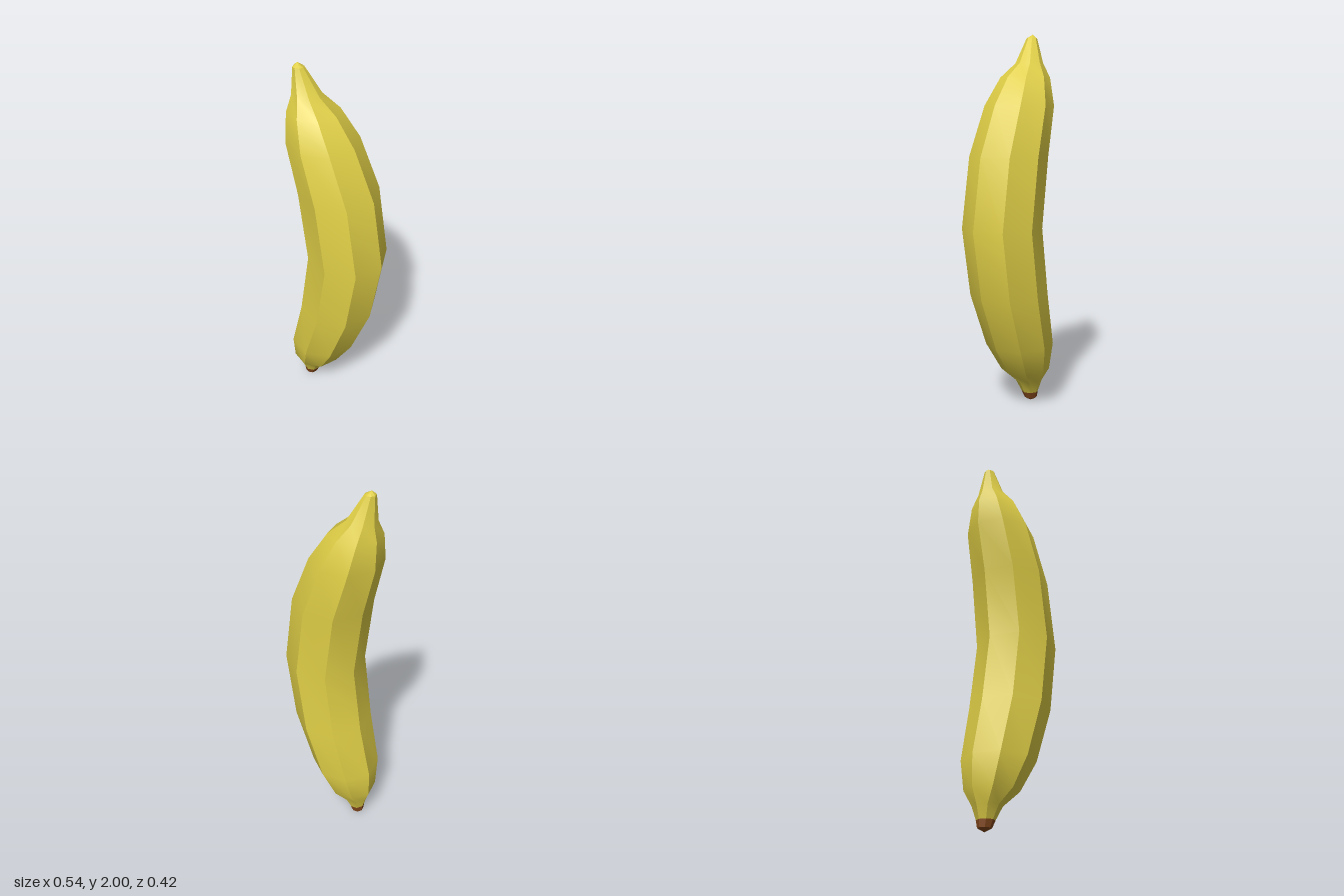
import * as THREE from 'three';
import { toCreasedNormals } from 'three/addons/utils/BufferGeometryUtils.js';

const SIDES = 8;

// Cross-sections from bottom to top: [y, centre x, centre z, radius]
const blossomRings = [
  [0, -0.185, 0.016, 0],
  [0.018, -0.184, 0.016, 0.034],
  [0.055, -0.177, 0.016, 0.045],
];
const skinRings = [
  [0.055, -0.177, 0.016, 0.045],
  [0.12, -0.168, 0.016, 0.072],
  [0.195, -0.137, 0.015, 0.132],
  [0.35, -0.087, 0.012, 0.182],
  [0.64, 0.004, 0.004, 0.205],
  [1.0, 0.06, 0, 0.208],
  [1.37, 0.007, 0.003, 0.204],
  [1.63, -0.08, 0.01, 0.181],
  [1.775, -0.13, 0.015, 0.13],
  [1.85, -0.165, 0.018, 0.073],
  [1.98, -0.198, 0.031, 0.028],
  [2.0, -0.205, 0.031, 0],
];

// Joins octagonal rings; a ring of zero radius closes the end
function loft(rings) {
  const positions = [];
  const point = ([y, x, z, r], i) => {
    const a = (i / SIDES) * Math.PI * 2;
    return [x + r * Math.cos(a), y, z + r * Math.sin(a)];
  };
  for (let k = 0; k < rings.length - 1; k++) {
    const low = rings[k], high = rings[k + 1];
    for (let i = 0; i < SIDES; i++) {
      const a0 = point(low, i), a1 = point(low, i + 1);
      const b0 = point(high, i), b1 = point(high, i + 1);
      if (high[3] > 0) positions.push(...a0, ...b0, ...b1);
      if (low[3] > 0) positions.push(...a0, ...b1, ...a1);
    }
  }
  const geometry = new THREE.BufferGeometry();
  geometry.setAttribute('position', new THREE.Float32BufferAttribute(positions, 3));
  // Smooth along the length, sharp along the ridges
  return toCreasedNormals(geometry, 0.5);
}

export function createModel() {
  const yellow = new THREE.MeshStandardMaterial({ color: 0xdfce46 });
  yellow.name = 'banana yellow';
  const brown = new THREE.MeshStandardMaterial({ color: 0x84481c });
  brown.name = 'tip brown';

  const group = new THREE.Group();
  group.name = 'banana';

  // Curved ridged skin with its stem
  const skin = new THREE.Mesh(loft(skinRings), yellow);
  skin.name = 'skin';
  // Dark blossom end at the bottom
  const tip = new THREE.Mesh(loft(blossomRings), brown);
  tip.name = 'blossomTip';

  group.add(skin, tip);
  return group;
}
